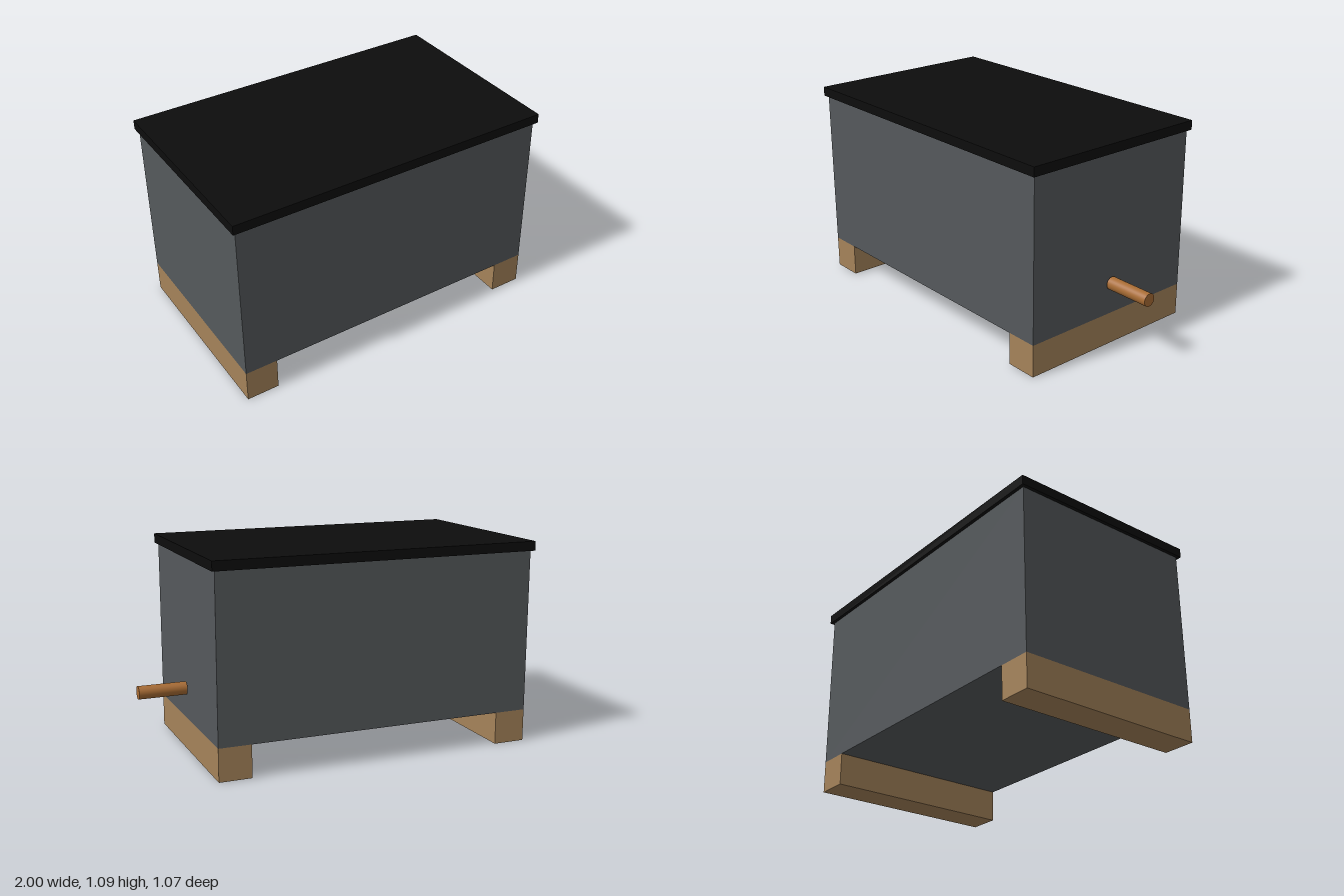
import * as THREE from 'three';

export function createModel() {
  const model = new THREE.Group();
  model.name = 'hiveBox';

  const material = (name, color) => {
    const m = new THREE.MeshStandardMaterial({ color });
    m.name = name;
    return m;
  };
  const grey = material('slate grey', 0x55595c);
  const black = material('black', 0x0d0d0d);
  const wood = material('pale wood', 0xa5835a);
  const copper = material('copper', 0xa86c34);

  // Box spanning x0..x1 and y0..y1, centred on z
  const box = (name, x0, x1, y0, y1, depth, mat) => {
    const mesh = new THREE.Mesh(new THREE.BoxGeometry(x1 - x0, y1 - y0, depth), mat);
    mesh.position.set((x0 + x1) / 2, (y0 + y1) / 2, 0);
    mesh.name = name;
    model.add(mesh);
  };

  // Body and overhanging lid
  box('body', -0.983, 0.738, 0.173, 1.037, 1.035, grey);
  box('lid', -1, 0.755, 1.037, 1.087, 1.07, black);

  // Skids running front to back under each end
  box('rightSkid', -0.983, -0.81, 0, 0.173, 1.035, wood);
  box('leftSkid', 0.566, 0.738, 0, 0.173, 1.035, wood);

  // Outlet pipe, standing just clear of the side wall
  const pipe = new THREE.Mesh(new THREE.CylinderGeometry(0.0345, 0.0345, 0.253, 32), copper);
  pipe.rotation.z = -Math.PI / 2;
  pipe.position.set(0.8735, 0.345, 0);
  pipe.name = 'outletPipe';
  model.add(pipe);

  return model;
}
